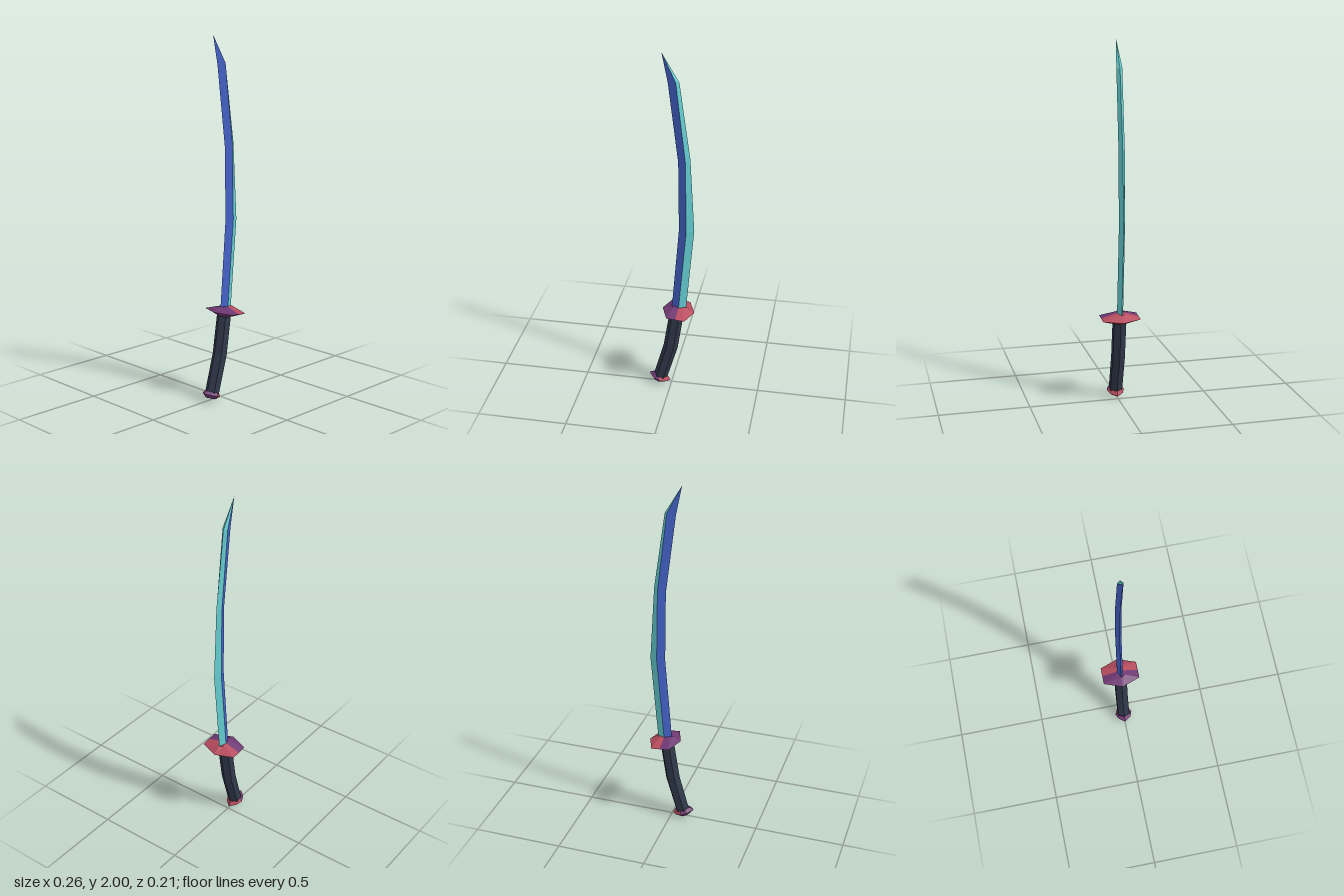
import * as THREE from 'three';

const mat = (name, color) => {
  const m = new THREE.MeshStandardMaterial({ color, flatShading: true });
  m.name = name;
  return m;
};

// Skin the chosen side segments of stacked rings (counterclockwise from above, bottom to top)
function loft(name, material, rings, segments) {
  const pos = [];
  const tri = (a, b, c) => {
    const n = b.clone().sub(a).cross(c.clone().sub(a));
    if (n.length() > 1e-9) for (const p of [a, b, c]) pos.push(p.x, p.y, p.z);
  };
  for (let i = 0; i < rings.length - 1; i++) {
    for (const j of segments) {
      const k = (j + 1) % rings[i].length;
      const a = rings[i][j], b = rings[i][k], c = rings[i + 1][k], d = rings[i + 1][j];
      tri(a, b, c);
      tri(a, c, d);
    }
  }
  const g = new THREE.BufferGeometry();
  g.setAttribute('position', new THREE.Float32BufferAttribute(pos, 3));
  g.computeVertexNormals();
  const mesh = new THREE.Mesh(g, material);
  mesh.name = name;
  return mesh;
}

// Ring of a unit outline, scaled, tilted about z and moved along its axis by h
function ring(outline, cx, cy, tilt, rx, rz, h = 0) {
  const c = Math.cos(tilt), s = Math.sin(tilt);
  return outline.map(([x, z]) => new THREE.Vector3(cx + x * rx * c - h * s, cy + x * rx * s + h * c, -z * rz));
}

// Eight-point outline whose side corners sit at (w, d)
const outline8 = (w, d) => [[1, 0], [w, d], [0, 1], [-w, d], [-1, 0], [-w, -d], [0, -1], [w, -d]];
const HEX = [[1, 0], [0.5, 1], [-0.5, 1], [-1, 0], [-0.5, -1], [0.5, -1]];

export function createModel() {
  const blue = mat('bladeBlue', 0x4564cc);
  const teal = mat('bladeTeal', 0x66d0d4);
  const purple = mat('fittingPurple', 0x6e3872);
  const red = mat('fittingRed', 0xb84c5e);
  const dark = mat('gripDark', 0x30384a);
  const model = new THREE.Group();
  model.name = 'curvedSword';

  // Blade: diamond sections as [inner x, y, ridge x, y, outer x, y, half thickness]
  const sections = [
    [0.0, 0.49, 0.04, 0.49, 0.08, 0.49, 0.017],
    [0.04, 1.0, 0.083, 1.0, 0.124, 1.0, 0.017],
    [0.035, 1.4, 0.076, 1.41, 0.1, 1.42, 0.017],
    [-0.02, 1.84, 0.024, 1.85, 0.04, 1.845, 0.016],
    [-0.052, 2, -0.052, 2, -0.052, 2, 0],
  ];
  const bladeRings = sections.map(([ix, iy, mx, my, ox, oy, t]) => [
    new THREE.Vector3(ox, oy, 0), new THREE.Vector3(mx, my, -t),
    new THREE.Vector3(ix, iy, 0), new THREE.Vector3(mx, my, t),
  ]);
  const blade = new THREE.Group();
  blade.name = 'blade';
  blade.add(loft('bladeInnerSide', blue, bladeRings, [1, 2]), loft('bladeOuterSide', teal, bladeRings, [0, 3]));

  // Guard and pommel: bevelled discs, each half its own colour; layers are [rx, rz, height]
  const fitting = (name, outline, cx, cy, tilt, layers) => {
    const rings = layers.map(([rx, rz, h]) => ring(outline, cx, cy, tilt, rx, rz, h));
    const group = new THREE.Group();
    group.name = name;
    group.add(loft(name + 'OuterHalf', red, rings, [6, 7, 0, 1]), loft(name + 'InnerHalf', purple, rings, [2, 3, 4, 5]));
    return group;
  };
  const guard = fitting('guard', outline8(0.56, 1), 0.039, 0.492, -0.09,
    [[0, 0, -0.028], [0.042, 0.035, -0.028], [0.09, 0.105, 0], [0.045, 0.022, 0.026], [0, 0, 0.026]]);
  const pommel = fitting('pommel', outline8(0.56, 0.7), -0.068, 0.033, -0.3,
    [[0, 0, -0.02], [0.036, 0.032, -0.02], [0.064, 0.05, 0], [0.044, 0.036, 0.018], [0, 0, 0.018]]);

  // Grip: bent six-sided handle
  const gripRings = [
    ring(HEX, -0.066, 0.035, -0.3, 0.039, 0.034),
    ring(HEX, -0.005, 0.25, -0.22, 0.041, 0.034),
    ring(HEX, 0.03, 0.48, -0.1, 0.04, 0.034),
  ];
  model.add(blade, guard, pommel, loft('grip', dark, gripRings, [0, 1, 2, 3, 4, 5]));
  return model;
}
